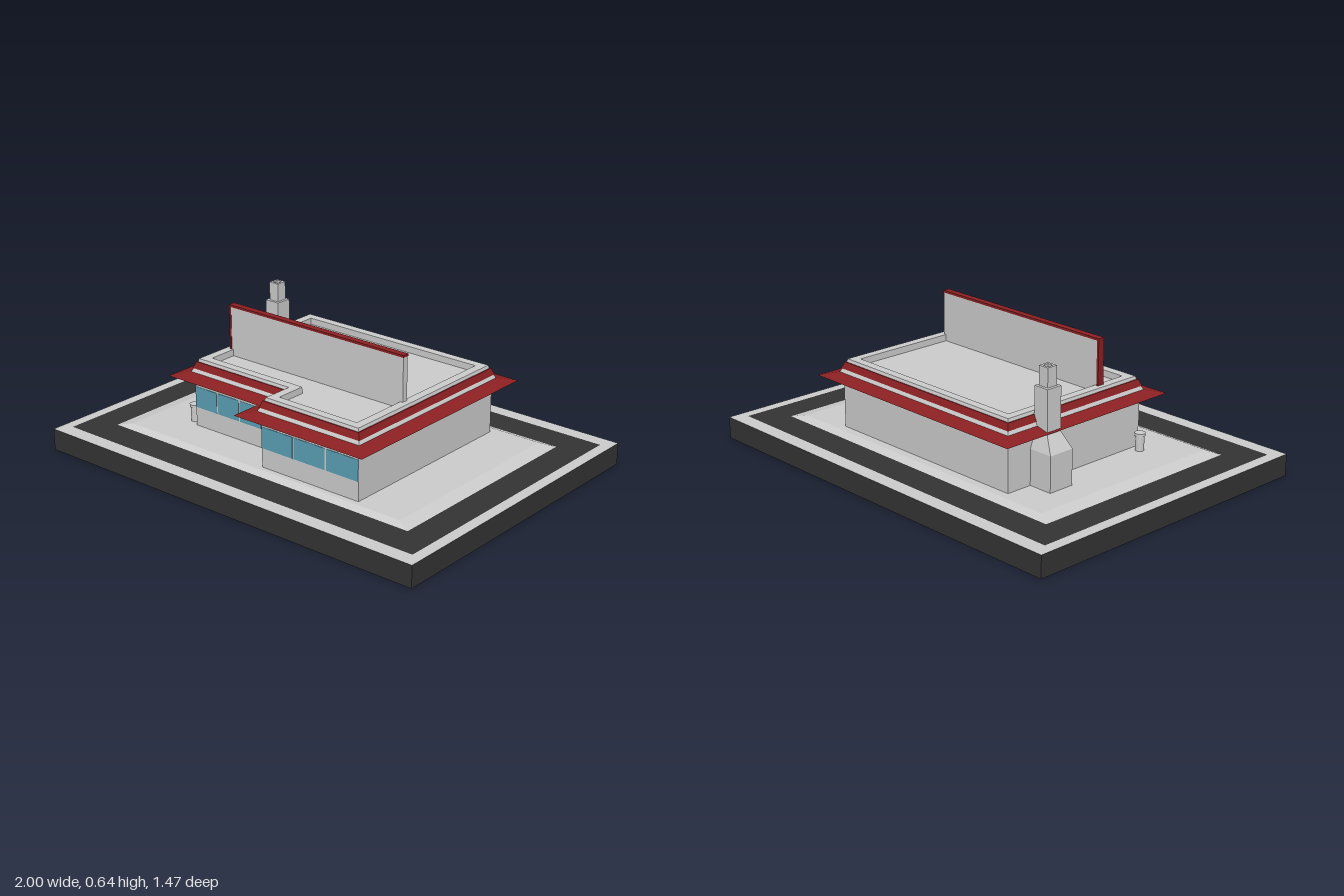
import * as THREE from 'three';

const mat = (color) => new THREE.MeshStandardMaterial({ color, flatShading: true });
const GREY = mat(0xcccccc), DARK = mat(0x333333), RED = mat(0x8b2022), GLASS = mat(0x5a9fb4);

// L-shaped wall footprint: x, z and the outward direction of each corner
const FOOTPRINT = [
  [-0.52, -0.45, -1, -1], [-0.52, 0.32, -1, 1], [0, 0.32, -1, 1],
  [0, 0.465, -1, 1], [0.52, 0.465, 1, 1], [0.52, -0.45, 1, -1],
];
const outline = (offset, y) => FOOTPRINT.map(([x, z, sx, sz]) => [x + sx * offset, y, z + sz * offset]);
const rect = (x0, x1, z0, z1, y) => [[x0, y, z0], [x0, y, z1], [x1, y, z1], [x1, y, z0]];

function add(parent, name, geometry, material, x = 0, y = 0, z = 0) {
  const mesh = new THREE.Mesh(geometry, material);
  mesh.name = name;
  mesh.position.set(x, y, z);
  parent.add(mesh);
  return mesh;
}

const box = (parent, name, material, x0, x1, y0, y1, z0, z1) =>
  add(parent, name, new THREE.BoxGeometry(x1 - x0, y1 - y0, z1 - z0), material,
    (x0 + x1) / 2, (y0 + y1) / 2, (z0 + z1) / 2);

// Joins successive closed loops with flat bands
function skin(...loops) {
  const points = [];
  for (let k = 0; k + 1 < loops.length; k++) {
    const lo = loops[k], up = loops[k + 1], n = lo.length;
    for (let i = 0; i < n; i++) {
      const j = (i + 1) % n;
      points.push(...lo[i], ...lo[j], ...up[j], ...lo[i], ...up[j], ...up[i]);
    }
  }
  const g = new THREE.BufferGeometry();
  g.setAttribute('position', new THREE.Float32BufferAttribute(points, 3));
  g.computeVertexNormals();
  return g;
}

// Horizontal face filling a loop, facing up
function cap(loop) {
  const shape = new THREE.Shape(loop.map(([x, , z]) => new THREE.Vector2(x, -z)));
  return new THREE.ShapeGeometry(shape).rotateX(-Math.PI / 2).translate(0, loop[0][1], 0);
}

function createSite() {
  const g = new THREE.Group();
  g.name = 'site';
  // Slab with dark sides and a grey kerb on top
  add(g, 'slab', new THREE.BoxGeometry(2, 0.1, 1.47), [DARK, DARK, GREY, GREY, DARK, DARK], 0, 0.05, 0);
  // Road ring
  add(g, 'road', skin(rect(-0.95, 0.95, -0.667, 0.667, 0.101), rect(-0.8, 0.8, -0.51, 0.51, 0.101)), DARK);
  // Raised pavement with sloping edges
  const top = rect(-0.75, 0.75, -0.49, 0.49, 0.115);
  add(g, 'pavementEdge', skin(rect(-0.82, 0.82, -0.53, 0.525, 0.1), top), GREY);
  add(g, 'pavement', cap(top), GREY);
  return g;
}

function createBuilding() {
  const g = new THREE.Group();
  g.name = 'building';
  add(g, 'walls', skin(outline(0, 0.11), outline(0, 0.34)), GREY);
  // Pointed eave running round the walls
  add(g, 'eave', skin(outline(0, 0.335), outline(0.082, 0.354), outline(0.01, 0.371)), RED);
  // Tapering fascia with a red stripe
  add(g, 'fascia', skin(outline(0.013, 0.37), outline(0.004, 0.387)), GREY);
  add(g, 'fasciaStripe', skin(outline(0.004, 0.387), outline(0.008, 0.387),
    outline(-0.004, 0.416), outline(-0.009, 0.416)), RED);
  // Parapet and sunken roof deck
  add(g, 'parapet', skin(outline(-0.009, 0.416), outline(-0.013, 0.43),
    outline(-0.053, 0.43), outline(-0.053, 0.4)), GREY);
  add(g, 'roofDeck', cap(outline(-0.053, 0.4)), GREY);

  // Window rows: start, end, number of panes, wall face
  for (const [x0, x1, count, z] of [[-0.52, 0, 4, 0.32], [0, 0.52, 3, 0.465]]) {
    const pitch = (x1 - x0) / count;
    for (let i = 0; i < count; i++) {
      const left = x0 + i * pitch + (i ? 0.004 : 0);
      const right = x0 + (i + 1) * pitch - (i < count - 1 ? 0.004 : 0);
      box(g, 'window', GLASS, left, right, 0.203, 0.3, z - 0.01, z + 0.002);
    }
  }
  return g;
}

function createSignWall() {
  const g = new THREE.Group();
  g.name = 'signWall';
  box(g, 'signPanel', GREY, -0.476, 0.48, 0.4, 0.627, 0.102, 0.13);
  box(g, 'signTopTrim', RED, -0.486, 0.482, 0.627, 0.637, 0.1, 0.132);
  box(g, 'signSideTrim', RED, -0.486, -0.476, 0.4, 0.627, 0.1, 0.132);
  return g;
}

function createChimney() {
  const g = new THREE.Group();
  g.name = 'chimney';
  const stack = (y) => rect(-0.59, -0.515, -0.3, -0.223, y);
  const flue = (y, inset = 0) => rect(-0.577 + inset, -0.527 - inset, -0.287 + inset, -0.236 - inset, y);
  const breast = (y) => rect(-0.635, -0.515, -0.325, -0.2, y);
  add(g, 'chimneyBreast', skin(breast(0.11), breast(0.275), stack(0.345)), GREY);
  add(g, 'chimneyStack', skin(stack(0.345), stack(0.54), flue(0.54)), GREY);
  // Open flue
  add(g, 'flue', skin(flue(0.54), flue(0.625), flue(0.625, 0.011), flue(0.57, 0.011)), GREY);
  add(g, 'flueBottom', cap(flue(0.57, 0.011)), GREY);
  return g;
}

function createLitterBin() {
  const g = new THREE.Group();
  g.name = 'litterBin';
  add(g, 'binBody', new THREE.CylinderGeometry(0.02, 0.02, 0.07, 12), GREY, 0, 0.035, 0);
  add(g, 'binLid', new THREE.CylinderGeometry(0.025, 0.025, 0.012, 12), GREY, 0, 0.074, 0);
  g.position.set(-0.562, 0.115, 0.285);
  return g;
}

export function createModel() {
  const model = new THREE.Group();
  model.name = 'roadsideRestaurant';
  model.add(createSite(), createBuilding(), createSignWall(), createChimney(), createLitterBin());
  return model;
}
